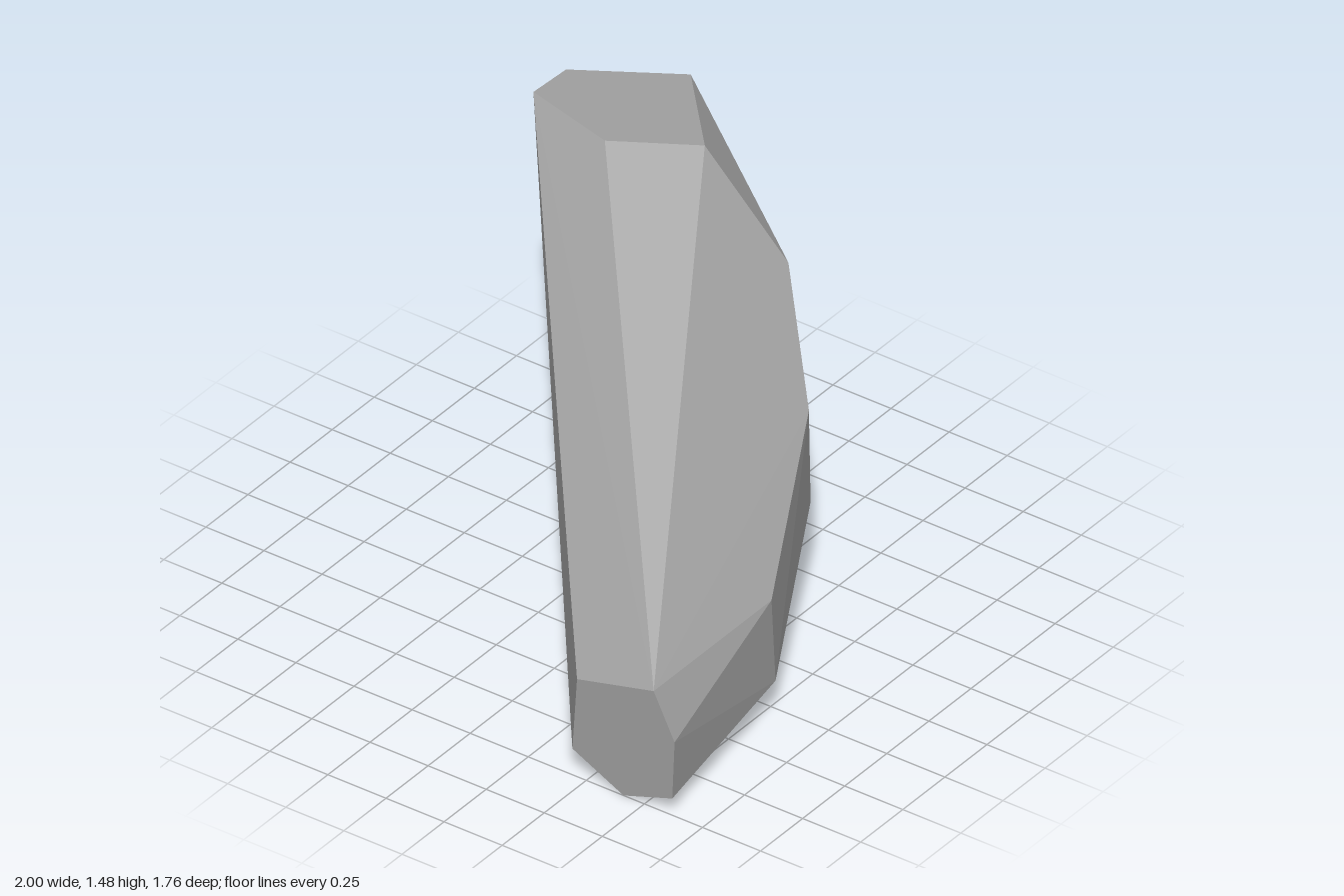
import * as THREE from 'three';
import { ConvexGeometry } from 'three/addons/geometries/ConvexGeometry.js';

export function createModel() {
  const model = new THREE.Group();
  model.name = 'rock';
  const stone = new THREE.MeshStandardMaterial({ color: 0xa0a0a0 });
  stone.name = 'stone grey';

  const corners = [
    // flat left end
    [-1, 0.49, 0.79], [-1, 0.31, 0.88], [-1, 0.07, 0.87],
    [-1, 0, 0.66], [-1, 0.11, 0.44], [-1, 0.41, 0.46],
    // front rim of the sloping upper face
    [-0.3, 0.49, 0.79], [0.35, 0.81, 0.48], [0.67, 1.13, 0.16],
    // lower front rim
    [-0.29, 0.15, 0.8], [0.36, 0.42, 0.48], [0.7, 0.74, 0.16],
    // underside
    [0.02, 0.13, 0.43], [0.68, 0.7, -0.17],
    // level top and the chip beside it
    [0.67, 1.48, -0.2], [0.49, 1.48, -0.5], [0.59, 1.48, -0.88],
    [0.77, 1.48, -0.87], [1, 1.48, -0.5], [0.98, 1.39, -0.57],
  ].map((p) => new THREE.Vector3(...p));

  // faceted boulder spanning the corners
  const boulder = new THREE.Mesh(new ConvexGeometry(corners), stone);
  boulder.name = 'boulder';
  model.add(boulder);
  return model;
}
